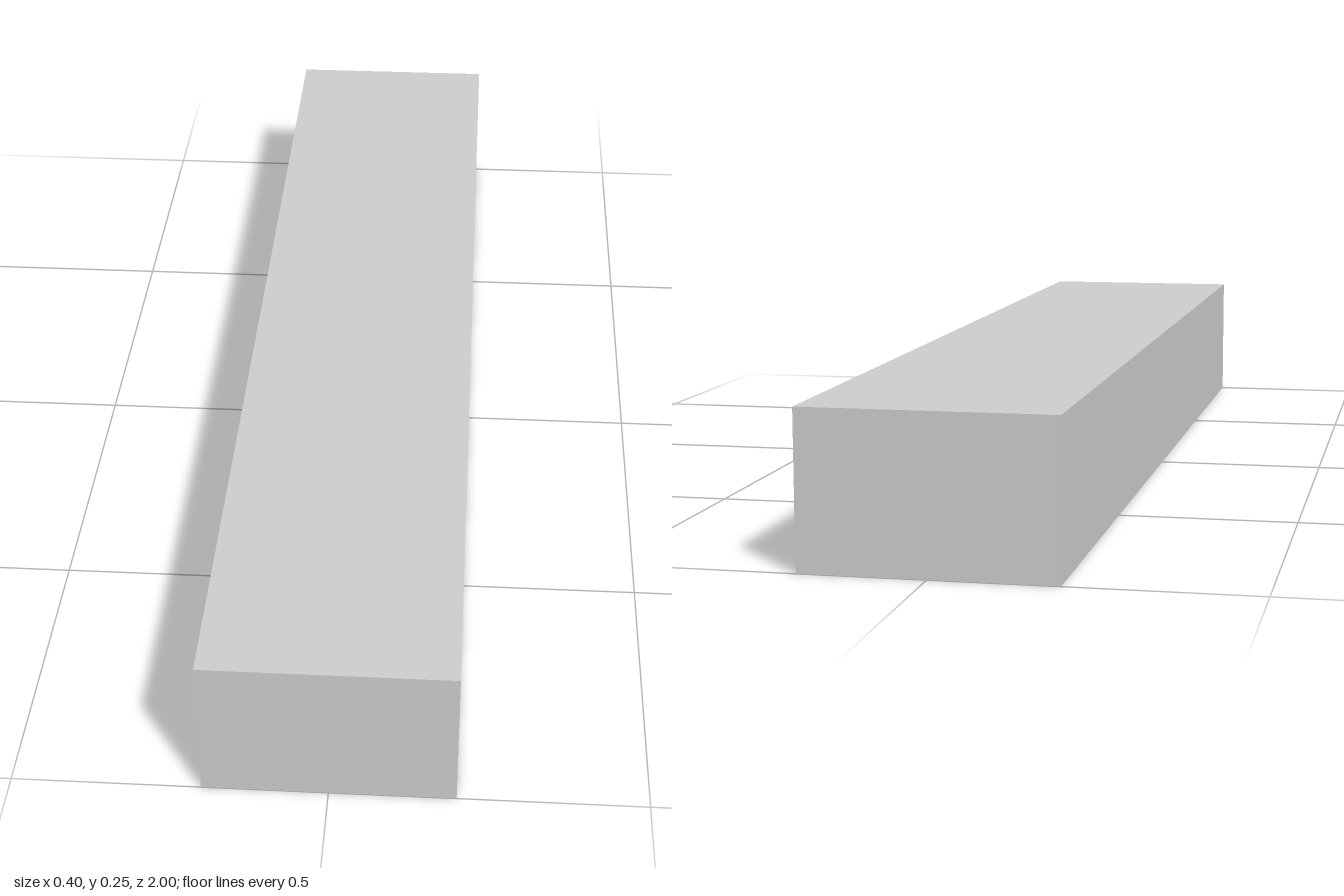
import * as THREE from 'three';

const WIDTH = 0.4, HEIGHT = 0.25, LENGTH = 2, WALL = 0.04;

function rectangle(Type, w, l) {
  const r = new Type();
  r.moveTo(-w / 2, -l / 2);
  r.lineTo(w / 2, -l / 2);
  r.lineTo(w / 2, l / 2);
  r.lineTo(-w / 2, l / 2);
  r.closePath();
  return r;
}

export function createModel() {
  const group = new THREE.Group();
  group.name = 'tubeLightFixture';
  const material = new THREE.MeshStandardMaterial({ color: 0xcccccc });

  // Housing: a shallow tray, open below, with a recess cut through the wall height
  const housing = new THREE.Group();
  housing.name = 'housing';

  const frame = rectangle(THREE.Shape, WIDTH, LENGTH);
  frame.holes.push(rectangle(THREE.Path, WIDTH - 2 * WALL, LENGTH - 2 * WALL));
  const wallGeometry = new THREE.ExtrudeGeometry(frame, { depth: HEIGHT - WALL, bevelEnabled: false });
  wallGeometry.rotateX(-Math.PI / 2);
  const walls = new THREE.Mesh(wallGeometry, material);
  walls.name = 'sideWalls';

  const topPlate = new THREE.Mesh(new THREE.BoxGeometry(WIDTH, WALL, LENGTH), material);
  topPlate.name = 'topPlate';
  topPlate.position.y = HEIGHT - WALL / 2;
  housing.add(walls, topPlate);
  group.add(housing);

  // Two parallel lamp tubes spanning the recess from end to end
  const tubeGeometry = new THREE.CylinderGeometry(0.05, 0.05, LENGTH - 2 * WALL, 32);
  tubeGeometry.rotateX(Math.PI / 2);
  for (const side of [-1, 1]) {
    const tube = new THREE.Mesh(tubeGeometry, material);
    tube.name = side > 0 ? 'leftTube' : 'rightTube';
    tube.position.set(side * 0.08, 0.12, 0);
    group.add(tube);
  }

  return group;
}
